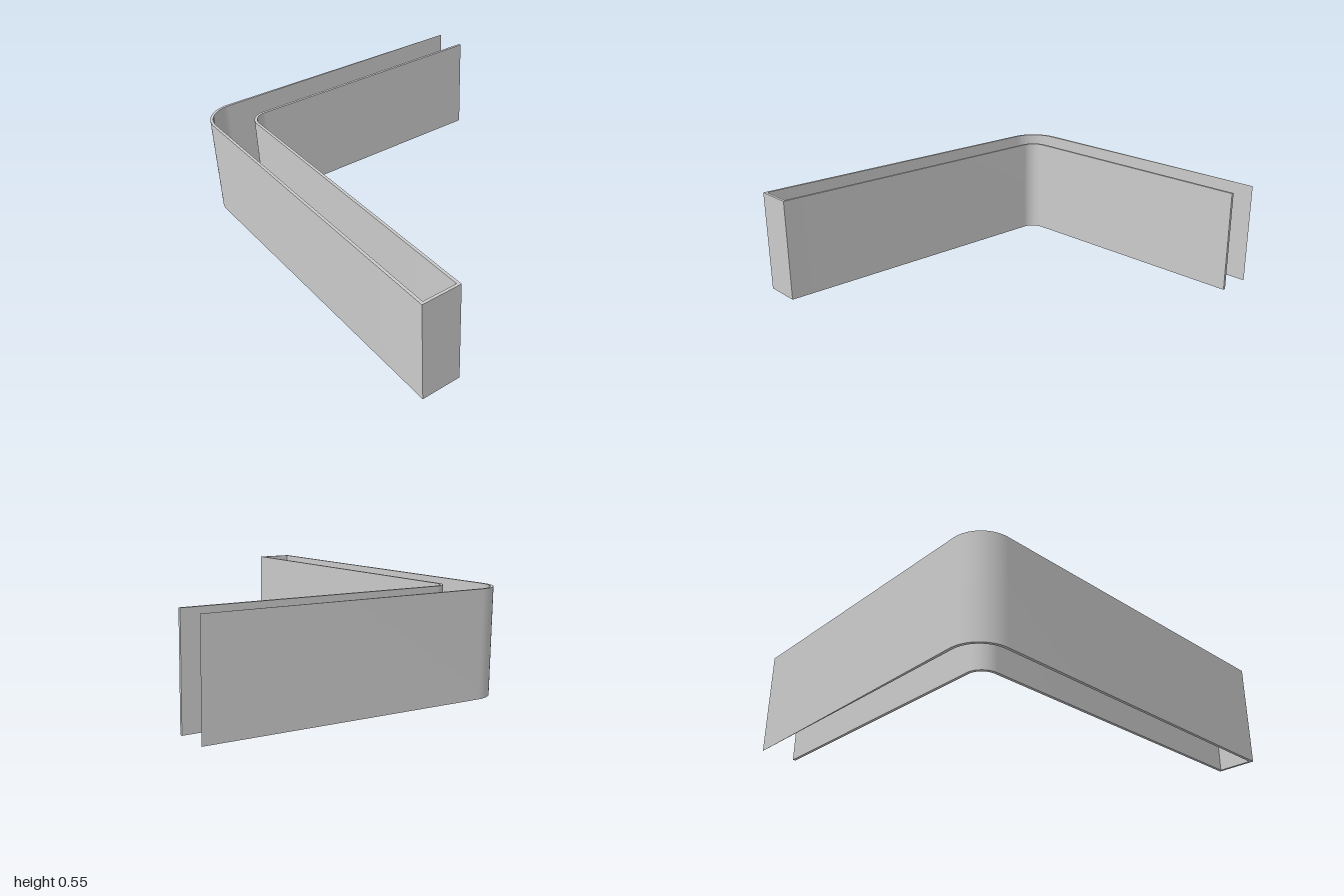
import * as THREE from 'three';
import { toCreasedNormals } from 'three/addons/utils/BufferGeometryUtils.js';

const HEIGHT = 0.55;
const T = 0.015;        // wall thickness
const BACK = 0.85;      // open end (plan y = -z)
const FRONT = -0.85;
const INNER_X = -0.79;  // faces of the inner wall
const INNER_Y = -0.64;
const R_OUT = 0.17;     // outer bend
const R_IN = 0.08;      // inner bend

export function createModel() {
  const group = new THREE.Group();
  group.name = 'cornerChannel';

  // Plan of one continuous wall: outer leg, bend, closed end, inner wall back
  const plan = new THREE.Shape();
  plan.moveTo(-1, BACK);
  plan.absarc(-1 + R_OUT, FRONT + R_OUT, R_OUT, Math.PI, Math.PI * 1.5, false);
  plan.lineTo(1, FRONT);
  plan.lineTo(1, INNER_Y);
  plan.absarc(INNER_X + R_IN, INNER_Y + R_IN, R_IN, Math.PI * 1.5, Math.PI, true);
  plan.lineTo(INNER_X, BACK);
  plan.lineTo(INNER_X - T, BACK);

  // Return along the inside faces of the channel
  plan.absarc(INNER_X + R_IN, INNER_Y + R_IN, R_IN + T, Math.PI, Math.PI * 1.5, false);
  plan.lineTo(1 - T, INNER_Y - T);
  plan.lineTo(1 - T, FRONT + T);
  plan.absarc(-1 + R_OUT, FRONT + R_OUT, R_OUT - T, Math.PI * 1.5, Math.PI, true);
  plan.lineTo(-1 + T, BACK);
  plan.closePath();

  // Raise the plan to full height
  const geometry = new THREE.ExtrudeGeometry(plan, {
    depth: HEIGHT, bevelEnabled: false, curveSegments: 12,
  });
  geometry.rotateX(-Math.PI / 2);

  const wall = new THREE.Mesh(
    toCreasedNormals(geometry, Math.PI / 6),
    new THREE.MeshStandardMaterial({ color: 0xcccccc }),
  );
  wall.name = 'channelWall';
  group.add(wall);
  return group;
}
